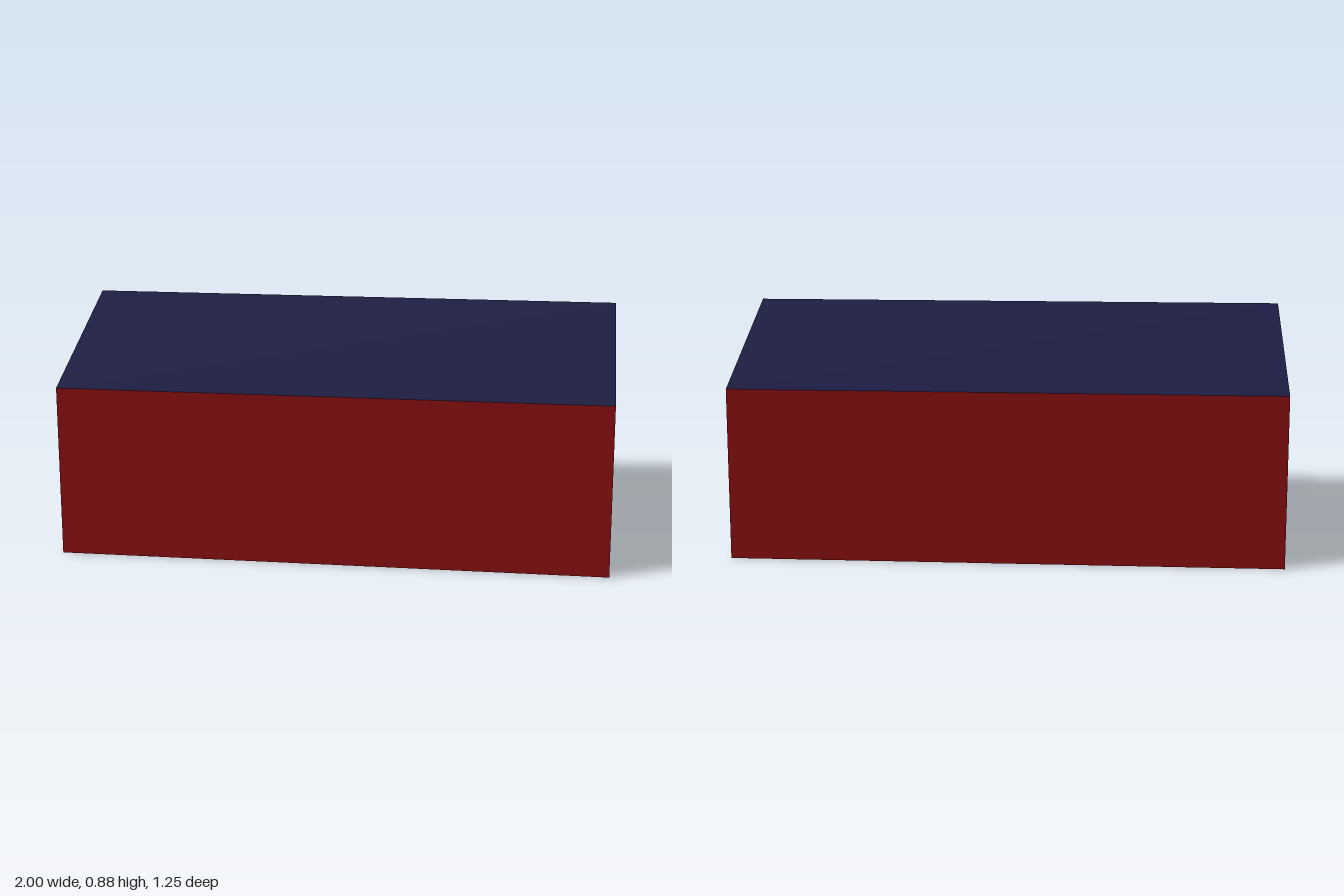
import * as THREE from 'three';

const LENGTH = 2, HALF_DEPTH = 0.625, EAVES = 0.625, RIDGE = 0.875;

const paint = (color) => new THREE.MeshStandardMaterial({ color, flatShading: true });

function addPanel(parent, name, geometry, material, position = [0, 0, 0], rotation = [0, 0, 0]) {
  const mesh = new THREE.Mesh(geometry, material);
  mesh.name = name;
  mesh.position.set(...position);
  mesh.rotation.set(...rotation);
  parent.add(mesh);
}

export function createModel() {
  const barn = new THREE.Group();
  barn.name = 'barn';
  const red = paint(0x8a0f11);
  const navy = paint(0x1c1c42);
  const black = paint(0x080808);

  // Five-sided gable outline
  const gable = new THREE.Shape([
    [-HALF_DEPTH, 0], [HALF_DEPTH, 0], [HALF_DEPTH, EAVES], [0, RIDGE], [-HALF_DEPTH, EAVES],
  ].map(([x, y]) => new THREE.Vector2(x, y)));

  const rise = RIDGE - EAVES;
  const pitch = Math.atan2(rise, HALF_DEPTH);
  const slope = Math.hypot(rise, HALF_DEPTH);

  // Each half has a long wall, a roof slope and one gable end
  ['front', 'back'].forEach((side, i) => {
    const half = new THREE.Group();
    half.name = side + 'Half';
    half.rotation.y = i * Math.PI;
    addPanel(half, side + 'Wall', new THREE.PlaneGeometry(LENGTH, EAVES), red,
      [0, EAVES / 2, HALF_DEPTH]);
    addPanel(half, side + 'RoofSlope', new THREE.PlaneGeometry(LENGTH, slope), navy,
      [0, (EAVES + RIDGE) / 2, HALF_DEPTH / 2], [pitch - Math.PI / 2, 0, 0]);
    addPanel(half, i ? 'rightGableWall' : 'leftGableWall', new THREE.ShapeGeometry(gable), red,
      [LENGTH / 2, 0, 0], [0, Math.PI / 2, 0]);
    barn.add(half);
  });

  // Floor facing down
  addPanel(barn, 'floor', new THREE.PlaneGeometry(LENGTH, HALF_DEPTH * 2), black,
    [0, 0, 0], [Math.PI / 2, 0, 0]);

  return barn;
}
